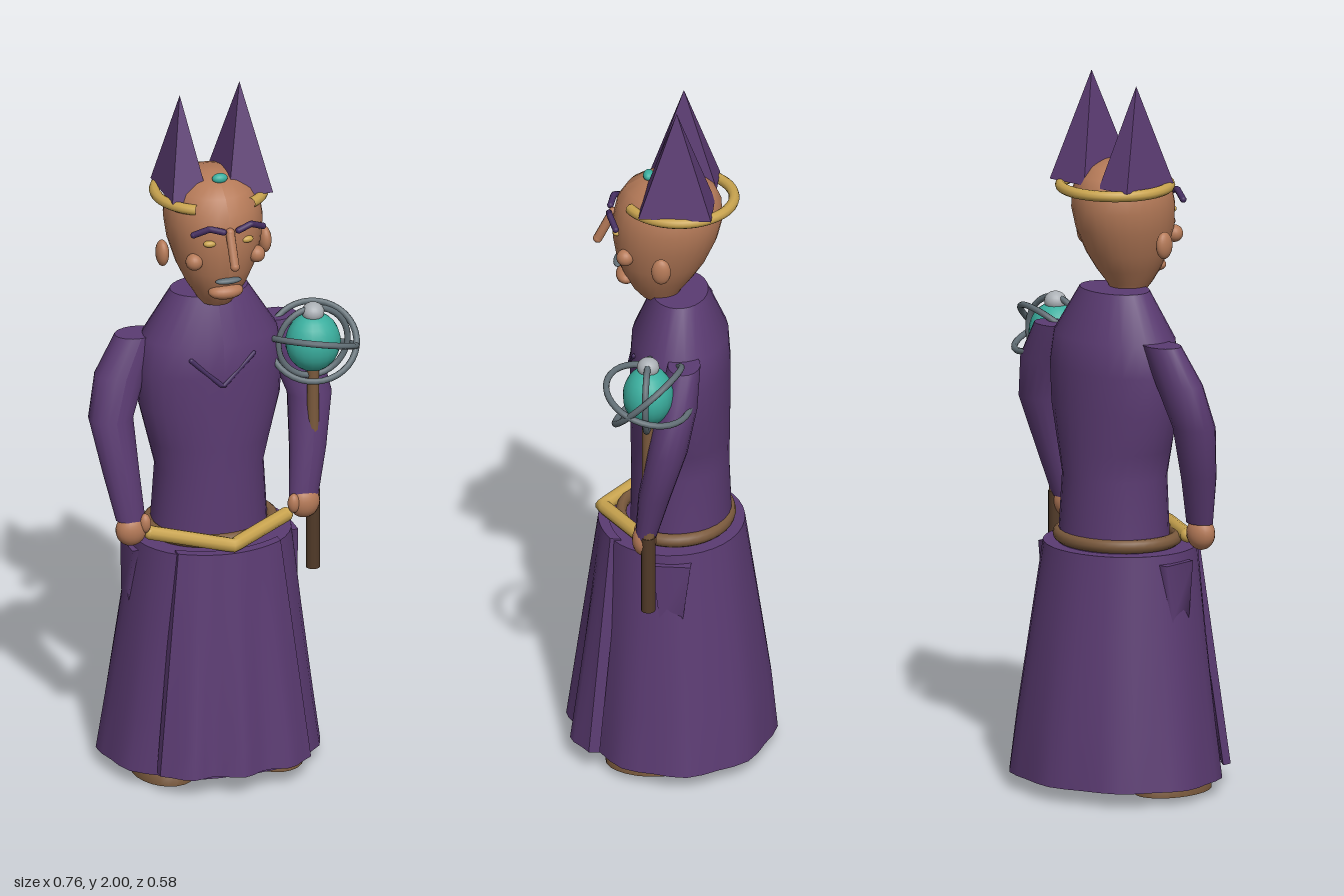
import * as THREE from 'three';

const mat = (name, color, double) => {
  const m = new THREE.MeshStandardMaterial({ color });
  m.name = name;
  if (double) m.side = THREE.DoubleSide;
  return m;
};

// Stacked elliptical sections, bottom to top: [y, centreX, centreZ, radiusX, radiusZ]
function loft(rows, n = 24, wave = () => 1, turn = 0) {
  const pos = [], idx = [];
  const ring = (r, i) => {
    for (let k = 0; k <= n; k++) {
      const a = (k / n) * Math.PI * 2 + turn, w = wave(a, i / (rows.length - 1));
      pos.push(r[1] + Math.sin(a) * r[3] * w, r[0], r[2] + Math.cos(a) * r[4] * w);
    }
  };
  rows.forEach(ring);
  for (let i = 0; i < rows.length - 1; i++) {
    for (let k = 0; k < n; k++) {
      const a = i * (n + 1) + k, b = a + n + 1;
      idx.push(a, a + 1, b + 1, a, b + 1, b);
    }
  }
  // flat caps with their own corners
  [0, rows.length - 1].forEach((i) => {
    const start = pos.length / 3;
    ring(rows[i], i);
    pos.push(rows[i][1], rows[i][0], rows[i][2]);
    const c = start + n + 1;
    for (let k = 0; k < n; k++) {
      if (i === 0) idx.push(c, start + k + 1, start + k);
      else idx.push(c, start + k, start + k + 1);
    }
  });
  const g = new THREE.BufferGeometry();
  g.setAttribute('position', new THREE.Float32BufferAttribute(pos, 3));
  g.setIndex(idx);
  g.computeVertexNormals();
  return g;
}

export function createModel() {
  const purple = mat('purple cloth', 0x5b3b72);
  const deep = mat('deep purple', 0x432c5e);
  const skin = mat('skin', 0xb57a58);
  const gold = mat('gold', 0xc9a44f);
  const teal = mat('teal crystal', 0x3aae9e);
  const metal = mat('grey metal', 0x616e75);
  const silver = mat('silver', 0xabb0b5);
  const brown = mat('brown leather', 0x7b5a3d);
  const dark = mat('dark wood', 0x513a28);

  const model = new THREE.Group();
  model.name = 'robedFigure';
  const body = new THREE.Group();
  body.name = 'body';
  body.position.x = -0.03;
  model.add(body);

  const add = (name, geo, m, x = 0, y = 0, z = 0, parent = body) => {
    const mesh = new THREE.Mesh(geo, m);
    mesh.name = name;
    mesh.position.set(x, y, z);
    parent.add(mesh);
    return mesh;
  };
  const ball = (name, m, x, y, z, rx, ry = rx, rz = rx, parent = body) => {
    const b = add(name, new THREE.SphereGeometry(1, 20, 14), m, x, y, z, parent);
    b.scale.set(rx, ry, rz);
    return b;
  };
  // Straight-jointed rod through points
  const rod = (name, m, pts, r) => {
    const path = new THREE.CurvePath();
    const v = pts.map((p) => new THREE.Vector3(...p));
    for (let i = 1; i < v.length; i++) path.add(new THREE.LineCurve3(v[i - 1], v[i]));
    add(name, new THREE.TubeGeometry(path, 24, r, 10), m);
    [v[0], v[v.length - 1]].forEach((p) => ball(name + 'End', m, p.x, p.y, p.z, r));
  };

  // Skirt with a gently fluted hem
  const flute = (a, t) => 1 + 0.022 * (1 - t) * Math.cos(9 * a + Math.PI);
  add('skirt', loft([[0.04, 0, -0.02, 0.31, 0.265], [0.2, 0, -0.018, 0.287, 0.253],
    [0.45, 0, -0.01, 0.253, 0.225], [0.685, 0, 0, 0.222, 0.2]], 36, flute), purple);

  // Curved front panel, wider and wavier toward the hem
  const panel = new THREE.BoxGeometry(1, 1, 1, 16, 8, 1);
  const p = panel.attributes.position;
  for (let i = 0; i < p.count; i++) {
    const s = p.getX(i) * 2, t = 0.5 - p.getY(i), d = p.getZ(i);
    const top = 0.188 - 0.045 * s * s;
    const hem = 0.264 - 0.055 * s * s + 0.013 * Math.cos(3 * Math.PI * s);
    p.setXYZ(i, s * (0.148 + 0.07 * t), 0.69 - 0.635 * t, top + (hem - top) * t + d * 0.03);
  }
  panel.computeVertexNormals();
  add('frontPanel', panel, purple);

  // Torso
  add('torso', loft([[0.68, 0, -0.025, 0.165, 0.14], [0.88, 0, -0.022, 0.152, 0.135],
    [0.96, 0, -0.022, 0.172, 0.137], [1.07, 0, -0.022, 0.2, 0.138], [1.18, 0, -0.022, 0.207, 0.138],
    [1.27, 0, -0.022, 0.192, 0.132], [1.4, 0, -0.022, 0.11, 0.077]], 28), purple);
  rod('collarStitch', deep, [[-0.09, 1.235, 0.097], [-0.005, 1.155, 0.117], [0.09, 1.235, 0.097]], 0.007);

  // Belt: leather ring with a gold sash at the front
  const belt = add('belt', new THREE.TorusGeometry(1, 0.1, 10, 40), brown, 0, 0.705, -0.01);
  belt.rotation.x = Math.PI / 2;
  belt.scale.set(0.172, 0.15, 0.19);
  rod('sash', gold, [[-0.195, 0.72, 0.06], [0, 0.71, 0.192], [0.195, 0.72, 0.06]], 0.02);

  // Arms, hands, pockets, feet
  [-1, 1].forEach((s) => {
    const side = s > 0 ? 'left' : 'right';
    add(side + 'Sleeve', loft([[0.765, s * 0.25, 0.05, 0.042, 0.03], [0.9, s * 0.27, 0.025, 0.052, 0.045],
      [1.05, s * 0.287, -0.012, 0.063, 0.055], [1.17, s * 0.252, -0.035, 0.073, 0.056],
      [1.275, s * 0.2, -0.05, 0.062, 0.045]], 16), purple);
    ball(side + 'Hand', skin, s * 0.25, s > 0 ? 0.75 : 0.735, 0.055, 0.044, 0.046, 0.034);
    ball(side + 'Thumb', skin, s * 0.215, 0.755, 0.07, 0.017, 0.028, 0.017);
    add(side + 'Pocket', loft([[0.5, s * 0.222, -0.018, 0.03, 0.046], [0.66, s * 0.215, -0.018, 0.035, 0.075]],
      4, () => 1, Math.PI / 4), purple);
    add(side + 'Foot', loft([[0, s * 0.155, 0.045, 0.088, 0.125], [0.03, s * 0.155, 0.045, 0.088, 0.125],
      [0.07, s * 0.155, 0.04, 0.065, 0.095]], 24), brown);
  });

  // Head: egg with a forward chin
  add('head', loft([[1.385, 0, 0.035, 0.045, 0.05], [1.41, 0, 0.04, 0.06, 0.068], [1.45, 0, 0.036, 0.085, 0.095],
    [1.5, 0, 0.03, 0.108, 0.122], [1.57, 0, 0.02, 0.129, 0.144], [1.63, 0, 0.012, 0.136, 0.151],
    [1.68, 0, 0.008, 0.13, 0.144], [1.72, 0, 0.004, 0.108, 0.122], [1.745, 0, 0.002, 0.076, 0.086],
    [1.757, 0, 0, 0.042, 0.047], [1.76, 0, 0, 0.006, 0.006]], 28), skin);
  rod('nose', skin, [[0, 1.635, 0.163], [0, 1.55, 0.205]], 0.013);
  ball('mouth', metal, 0, 1.485, 0.148, 0.038, 0.009, 0.014);
  ball('chin', skin, 0, 1.445, 0.125, 0.05, 0.022, 0.03);
  [-1, 1].forEach((s) => {
    const side = s > 0 ? 'left' : 'right';
    ball(side + 'Eye', gold, s * 0.053, 1.603, 0.148, 0.019, 0.01, 0.012);
    rod(side + 'Brow', deep, [[s * 0.022, 1.643, 0.172], [s * 0.06, 1.655, 0.166], [s * 0.1, 1.635, 0.147]], 0.009);
    ball(side + 'Cheek', skin, s * 0.09, 1.543, 0.122, 0.024);
    ball(side + 'Ear', skin, s * 0.148, 1.535, 0.018, 0.018, 0.038, 0.027);
  });

  // Circlet, open at the brow, with two tall pyramid horns and a gem
  const gap = 0.55;
  const circlet = add('circlet', new THREE.TorusGeometry(0.15, 0.015, 10, 40, Math.PI * 2 - gap * 2), gold, 0, 1.69, -0.02);
  circlet.rotation.set(Math.PI / 2, 0, Math.PI / 2 + gap);
  const horn = (name, x, w, d, z, h) => {
    const g = new THREE.CylinderGeometry(0, Math.SQRT1_2, 1, 4, 1).rotateY(Math.PI / 4).toNonIndexed();
    g.computeVertexNormals();
    add(name, g, purple, x, 1.7 + h / 2, z).scale.set(w, h, d);
  };
  horn('rightHorn', -0.083, 0.105, 0.19, -0.025, 0.28);
  horn('leftHorn', 0.088, 0.128, 0.2, -0.02, 0.3);
  ball('gem', teal, 0.003, 1.757, 0.065, 0.022, 0.014, 0.015);

  // Staff held in the left hand
  const staff = new THREE.Group();
  staff.name = 'staff';
  staff.position.set(0.25, 0, 0.042);
  model.add(staff);
  add('grip', new THREE.CylinderGeometry(0.02, 0.02, 0.23, 12), dark, 0, 0.66, 0, staff);
  add('shaft', new THREE.CylinderGeometry(0.017, 0.018, 0.4, 12), brown, 0, 0.97, 0, staff);
  ball('orb', teal, 0, 1.22, 0, 0.077, 0.085, 0.07, staff);
  ball('finial', silver, 0, 1.308, 0, 0.031, 0.028, 0.031, staff);
  [[0.1, 0, 0], [0.12, Math.PI / 2 - 0.3, -0.2], [0.12, Math.PI / 2 + 0.75, 0.2]].forEach(([r, rx, ry], i) => {
    const ring = add('orbitRing' + (i + 1), new THREE.TorusGeometry(r, 0.009, 8, 36), metal, 0, 1.22, 0, staff);
    ring.rotation.set(rx, ry, 0);
  });

  return model;
}
